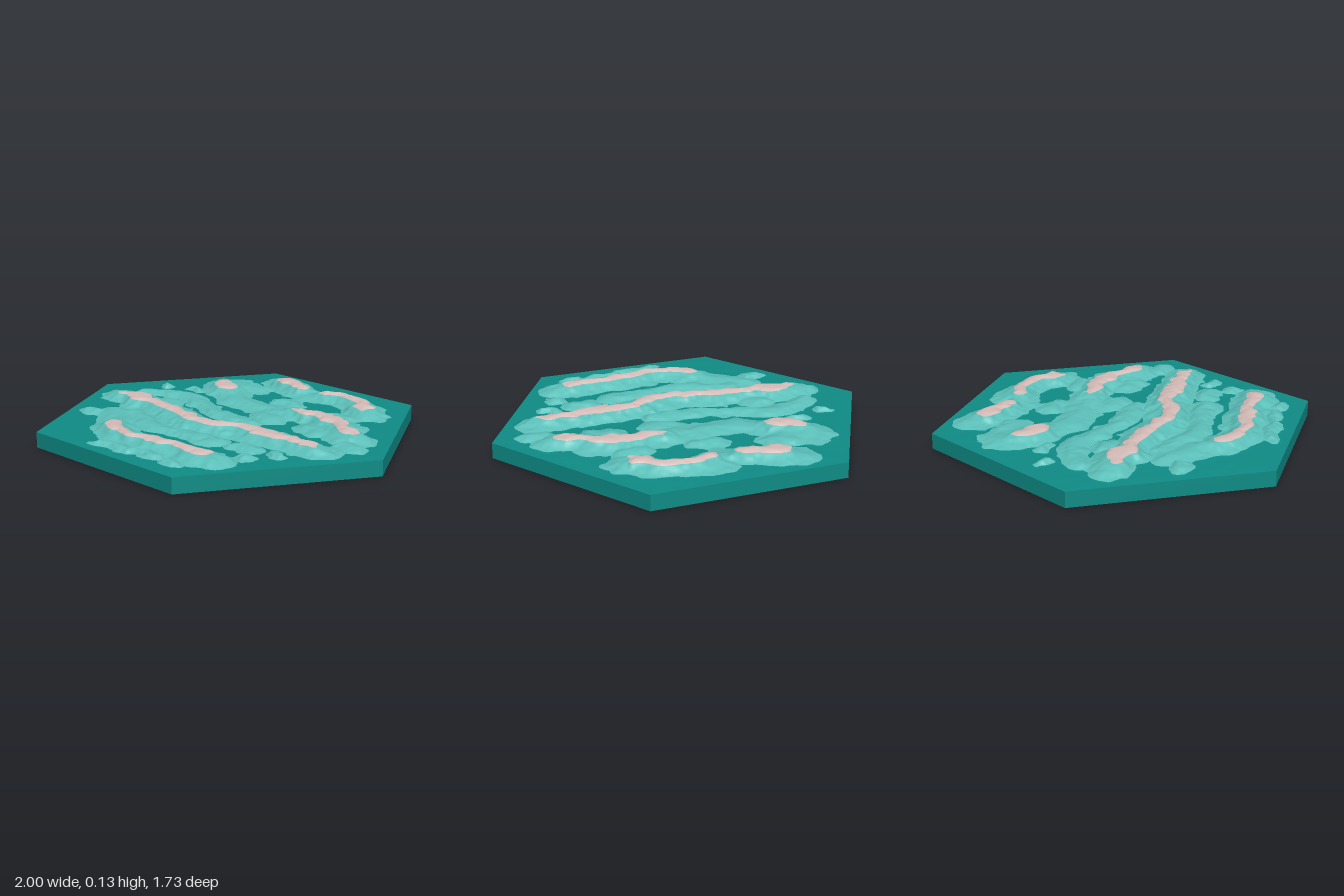
import * as THREE from 'three';

const TOP = 0.08;         // resting water level
const FOAM = 0.003;       // wave height at which foam starts
const CREST = 0.038;      // wave height at which the pale crest starts
const CHOP = 0.021;       // height of foam without a crest
const PEAK = 0.048;       // height of a crested wave
const N = 92;             // grid cells along one hexagon edge
const { lerp, clamp, smoothstep } = THREE.MathUtils;

// Waves: path in x and z, half width, and the stretch of the path that is crested
const waves = [
  { path: [[-0.55, -0.25], [-0.61, 0.06], [-0.6, 0.22], [-0.4, 0.5], [-0.28, 0.7]], crest: [0.25, 1] },
  { path: [[-0.47, -0.56], [-0.3, -0.2], [-0.24, 0.03], [0, 0.32], [0.24, 0.7]], crest: [0, 1] },
  { path: [[0.12, -0.45], [0.12, -0.28], [0.2, -0.12], [0.42, 0.18], [0.47, 0.55]], crest: [0.5, 1] },
  { path: [[0.13, -0.63], [0.11, -0.46]], crest: [0, 1] },
  { path: [[0.47, -0.63], [0.49, -0.45], [0.53, -0.29]], crest: [0.2, 0.8] },
  { path: [[0.53, -0.26], [0.63, -0.19], [0.7, -0.04], [0.7, 0.15]], crest: [0.1, 1] },
  { path: [[-0.33, -0.61], [-0.14, -0.48], [-0.08, -0.25], [-0.06, -0.1], [0.06, 0.14]], width: 0.08 },
  { path: [[-0.47, -0.2], [-0.42, 0.08], [-0.18, 0.41]], width: 0.085 },
  { path: [[-0.73, 0.28], [-0.63, 0.42], [-0.5, 0.57]], width: 0.05 },
];

// Loose foam patches: x, z, radius
const patches = [
  [0.2, -0.61, 0.15], [0.3, -0.53, 0.09], [0.37, -0.19, 0.09], [0.19, 0.07, 0.1], [0.54, 0.17, 0.09], [0.52, 0.33, 0.1],
  [0.33, 0.34, 0.1], [0.66, -0.22, 0.11], [-0.04, -0.6, 0.06], [-0.67, -0.3, 0.06], [-0.24, -0.37, 0.07], [-0.24, -0.21, 0.07],
  [-0.08, 0.55, 0.08], [-0.12, 0.69, 0.05], [0.03, 0.7, 0.05], [0.4, 0.67, 0.07], [-0.46, 0.67, 0.06], [-0.19, -0.71, 0.045],
];

// Each band is a chain of samples: x, z, half width, height
const waveBands = waves.map(({ path, width = 0.125, crest }) => {
  const curve = new THREE.CatmullRomCurve3(path.map(([x, z]) => new THREE.Vector3(x, 0, z)));
  const steps = path.length * 4;
  return Array.from({ length: steps + 1 }, (_, i) => {
    const t = i / steps, p = curve.getPointAt(t);
    const swell = crest ? smoothstep(t, crest[0] - 0.1, crest[0] + 0.08) * (1 - smoothstep(t, crest[1] - 0.08, crest[1] + 0.1)) : 0;
    return [p.x, p.z, width, lerp(CHOP, PEAK, swell)];
  });
});
// Patches are short strokes that lean along the wave direction
const patchBands = patches.map(([x, z, r]) => [-1, 1].map((s) => [x + s * r * 0.15, z + s * r * 0.4, r, CHOP]));
const bands = [...waveBands, ...patchBands];

function hash(i, j) {
  const s = Math.sin(i * 127.1 + j * 311.7) * 43758.5453;
  return s - Math.floor(s);
}

function noise(x, z) {
  const i = Math.floor(x), j = Math.floor(z);
  const u = smoothstep(x - i, 0, 1), v = smoothstep(z - j, 0, 1);
  return lerp(lerp(hash(i, j), hash(i + 1, j), u), lerp(hash(i, j + 1), hash(i + 1, j + 1), u), v) - 0.5;
}

// Wave height above the resting level
function waveHeight(x0, z0) {
  const x = x0 + 0.045 * noise(x0 * 14, z0 * 14) + 0.02 * noise(x0 * 32 + 7, z0 * 32);
  const z = z0 + 0.045 * noise(x0 * 14 + 50, z0 * 14) + 0.02 * noise(x0 * 32 + 90, z0 * 32);
  let sum = 0;
  for (const band of bands) {
    let best = 0;
    for (let i = 0; i + 1 < band.length; i++) {
      const a = band[i], b = band[i + 1];
      const dx = b[0] - a[0], dz = b[1] - a[1];
      const k = clamp(((x - a[0]) * dx + (z - a[1]) * dz) / (dx * dx + dz * dz), 0, 1);
      const t = Math.hypot(x - a[0] - dx * k, z - a[1] - dz * k) / (a[2] * 1.08);
      if (t < 1) best = Math.max(best, lerp(a[3], b[3], k) * 0.5 * (1 + Math.cos(Math.PI * t)));
    }
    sum += best ** 4;
  }
  // faint ripples that die out at the rim
  const rim = 0.866 - Math.max(Math.abs(z0), Math.abs(x0) * 0.866 + Math.abs(z0) * 0.5);
  const ripple = (0.0012 + 0.0012 * noise(x0 * 18, z0 * 9)) * clamp(rim * 12, 0, 1);
  return sum ** 0.25 + ripple;
}

// Surface point: x, height, z, then the normal
function surfacePoint(q, r) {
  const x = (q + r / 2) / N, z = (r * Math.sqrt(3)) / 2 / N, e = 0.004;
  const h = waveHeight(x, z);
  const n = new THREE.Vector3(h - waveHeight(x + e, z), e, h - waveHeight(x, z + e)).normalize();
  return [x, h, z, n.x, n.y, n.z];
}

// Keep the part of a polygon above (sign 1) or below (sign -1) a height
function clip(poly, level, sign) {
  const out = [];
  poly.forEach((a, i) => {
    const b = poly[(i + 1) % poly.length];
    const da = sign * (a[1] - level), db = sign * (b[1] - level);
    if (da >= 0) out.push(a);
    if ((da > 0 && db < 0) || (da < 0 && db > 0)) out.push(a.map((v, k) => lerp(v, b[k], da / (da - db))));
  });
  return out;
}

export function createModel() {
  const group = new THREE.Group();
  const add = (name, geometry, color, flatShading = false) => {
    const mesh = new THREE.Mesh(geometry, new THREE.MeshStandardMaterial({ color, flatShading }));
    mesh.name = name;
    group.add(mesh);
  };

  // Hexagonal block: walls and underside
  const walls = new THREE.CylinderGeometry(1, 1, TOP, 6, 1, true, Math.PI / 2);
  add('tileWalls', walls.translate(0, TOP / 2, 0), 0x0f8c86, true);
  add('tileUnderside', new THREE.CircleGeometry(1, 6).rotateX(Math.PI / 2), 0x0f8c86);

  // Water surface on a triangular grid, cut along the foam and crest heights
  const cache = new Map();
  const at = ([q, r]) => {
    const key = q * 1000 + r;
    if (!cache.has(key)) cache.set(key, surfacePoint(q, r));
    return cache.get(key);
  };
  const inside = ([q, r]) => Math.max(Math.abs(q), Math.abs(r), Math.abs(q + r)) <= N;
  const layers = [
    { name: 'water', lo: -1, hi: FOAM, color: 0x0f8c86 },
    { name: 'foam', lo: FOAM, hi: CREST, color: 0x5cc0ba },
    { name: 'waveCrests', lo: CREST, hi: 1, color: 0xd6bcb8 },
  ].map((layer) => ({ ...layer, position: [], normal: [] }));

  for (let q = -N; q <= N; q++) {
    for (let r = -N; r <= N; r++) {
      for (const cell of [[[q, r], [q, r + 1], [q + 1, r]], [[q + 1, r], [q, r + 1], [q + 1, r + 1]]]) {
        if (!cell.every(inside)) continue;
        const triangle = cell.map(at);
        for (const layer of layers) {
          const poly = clip(clip(triangle, layer.lo, 1), layer.hi, -1);
          for (let i = 1; i + 1 < poly.length; i++) {
            for (const p of [poly[0], poly[i], poly[i + 1]]) {
              layer.position.push(p[0], TOP + p[1], p[2]);
              layer.normal.push(p[3], p[4], p[5]);
            }
          }
        }
      }
    }
  }
  for (const { name, color, position, normal } of layers) {
    const geometry = new THREE.BufferGeometry();
    geometry.setAttribute('position', new THREE.Float32BufferAttribute(position, 3));
    geometry.setAttribute('normal', new THREE.Float32BufferAttribute(normal, 3));
    add(name, geometry, color);
  }
  return group;
}
